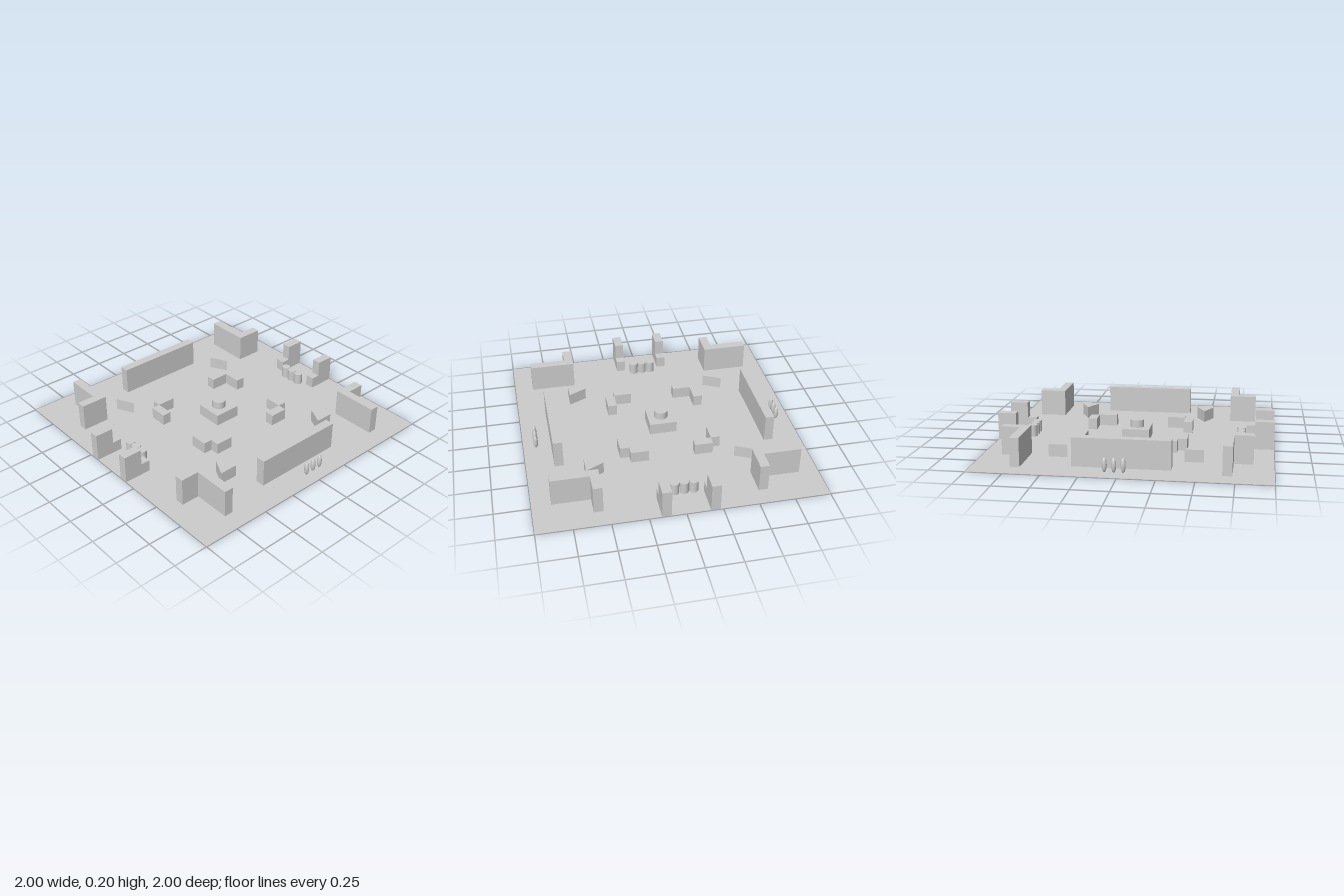
import * as THREE from 'three';

const smooth = new THREE.MeshStandardMaterial({ color: 0xcccccc });
const flat = new THREE.MeshStandardMaterial({ color: 0xcccccc, flatShading: true });
const BASE = 0.003, LOW = 0.087, TALL = 0.203;

export function createModel() {
  const root = new THREE.Group();
  root.name = 'arena';

  const add = (name, geometry, x, y, z, material = flat) => {
    const mesh = new THREE.Mesh(geometry, material);
    mesh.name = name;
    mesh.position.set(x, y, z);
    root.add(mesh);
    return mesh;
  };
  // Box standing on the floor, given by its plan extents
  const block = (name, x0, x1, z0, z1, top) =>
    add(name, new THREE.BoxGeometry(Math.abs(x1 - x0), top - BASE, Math.abs(z1 - z0)),
      (x0 + x1) / 2, (top + BASE) / 2, (z0 + z1) / 2);
  // Upright prism with the given plan outline [x, z]
  const prism = (name, points, top) => {
    const shape = new THREE.Shape(points.map(([x, z]) => new THREE.Vector2(x, -z)));
    const geometry = new THREE.ExtrudeGeometry(shape, { depth: top - BASE, bevelEnabled: false });
    geometry.rotateX(-Math.PI / 2);
    return add(name, geometry, 0, BASE, 0);
  };
  const post = (name, x, z, radius, y0, y1) =>
    add(name, new THREE.CylinderGeometry(radius, radius, y1 - y0, 32), x, (y0 + y1) / 2, z, smooth);

  // Floor slab
  add('floor', new THREE.BoxGeometry(2, BASE, 2), 0, BASE / 2, 0);

  for (const sz of [-1, 1]) {
    const dz = -0.003; // slight offset of the layout along z
    for (const sx of [-1, 1]) {
      // Tall L-shaped corner walls
      prism('cornerWall', [
        [0.533, 0.668], [0.865, 0.668], [0.865, 0.733], [0.598, 0.733], [0.598, 0.865], [0.533, 0.865],
      ].map(([x, z]) => [sx * x, sz * z + dz]), TALL);

      // Low wedge-shaped covers pointing inward
      prism('wedgeCover', [[0.6, 0.402], [0.6, 0.533], [0.47, 0.468]]
        .map(([x, z]) => [sx * x, sz * z + dz]), 0.091);

      // Low stepped covers around the middle, centred on x = -0.033
      const cx = (d) => -0.033 + sx * d;
      block('innerCoverEnd', cx(0.167), cx(0.298), sz * 0.333 + dz, sz * 0.398 + dz, LOW);
      block('innerCoverSide', cx(0.298), cx(0.365), sz * 0.2 + dz, sz * 0.333 + dz, LOW);

      // Gate pillars on the edge with a low step on the inner side
      block('gatePillar', cx(0.133), cx(0.198), sz * 0.867, sz, TALL);
      block('gateStep', cx(0.133), cx(0.198), sz * 0.802, sz * 0.867, LOW);
    }
    // Row of three barrels in front of each gate
    for (const i of [-1, 0, 1]) post('barrel', -0.033 + i * 0.067, sz * 0.77 - 0.005, 0.032, BASE, LOW);
  }

  for (const sx of [-1, 1]) {
    // Long side walls
    block('sideWall', sx * 0.735, sx * 0.8, -0.335, 0.331, TALL);
    // Slim upright pods outside each side wall
    for (const i of [-1, 0, 1]) {
      const pod = add('pod', new THREE.SphereGeometry(1, 24, 16),
        0.004 + sx * 0.904, 0.057, -0.033 + i * 0.062, smooth);
      pod.scale.set(0.017, 0.05, 0.017);
    }
  }

  // Central pedestal with a round cap
  block('pedestal', -0.133, 0.067, -0.1, 0.1, LOW);
  post('pedestalCap', -0.033, 0, 0.05, LOW, 0.141);

  return root;
}
